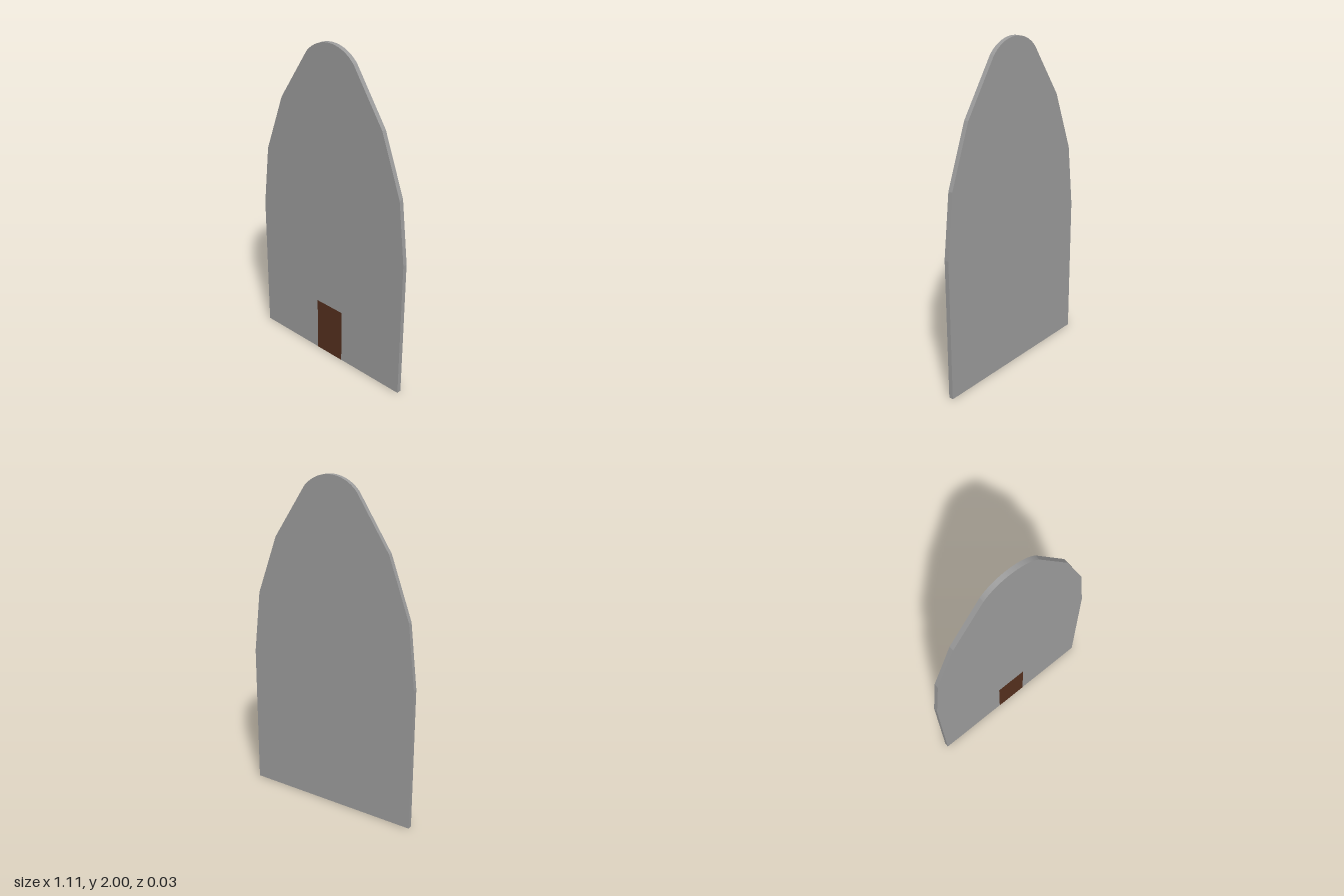
import * as THREE from 'three';
import { toCreasedNormals } from 'three/addons/utils/BufferGeometryUtils.js';

export function createModel() {
  const group = new THREE.Group();
  const depth = 0.028;

  // Right half of the slab outline, from the base up to the start of the rounded tip
  const side = [[0.556, 0], [0.556, 0.875], [0.511, 1.257], [0.378, 1.613], [0.172, 1.922]];
  const [tipX, tipY] = side[side.length - 1];
  const rise = 2 - tipY;
  const radius = (tipX * tipX + rise * rise) / (2 * rise);
  const start = Math.asin(tipX / radius);

  // Slab: faceted shoulders, circular tip, mirrored left side
  const outline = new THREE.Shape();
  outline.moveTo(...side[0]);
  side.slice(1).forEach(([x, y]) => outline.lineTo(x, y));
  outline.absarc(0, 2 - radius, radius, Math.PI / 2 - start, Math.PI / 2 + start, false);
  side.slice(0, -1).reverse().forEach(([x, y]) => outline.lineTo(-x, y));
  outline.closePath();

  const slabGeometry = new THREE.ExtrudeGeometry(outline, { depth, bevelEnabled: false, curveSegments: 24 });
  slabGeometry.translate(0, 0, -depth / 2);
  const slab = new THREE.Mesh(
    toCreasedNormals(slabGeometry, 0.11),
    new THREE.MeshStandardMaterial({ color: 0x9c9c9c })
  );
  slab.name = 'slab';
  group.add(slab);

  // Door: a thin panel lying just on the front face
  const door = new THREE.Mesh(
    new THREE.PlaneGeometry(0.203, 0.353),
    new THREE.MeshStandardMaterial({ color: 0x55301e })
  );
  door.name = 'door';
  door.position.set(0, 0.1765, depth / 2 + 0.001);
  group.add(door);

  return group;
}
